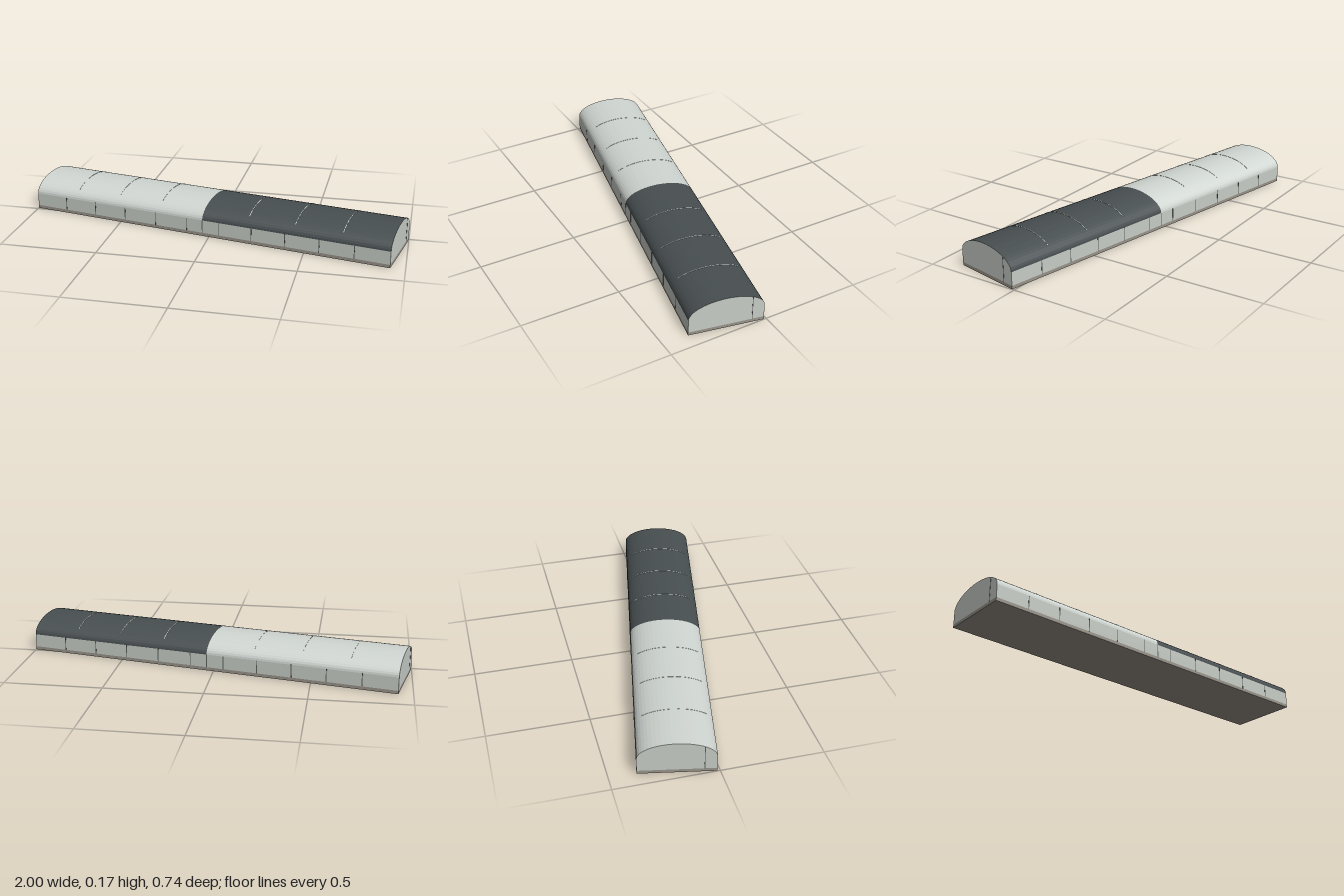
import * as THREE from 'three';

const L = 1.963, W = 0.366;                 // hall length and width
const BASE = 0.017, EAVE = 0.085, RISE = 0.082;

const mat = (name, color) => {
  const m = new THREE.MeshStandardMaterial({ color });
  m.name = name;
  return m;
};

export function createModel() {
  const wall = mat('pale wall', 0xc8cdc7);
  const paleRoof = mat('pale roof', 0xd0d6d1);
  const darkRoof = mat('dark roof', 0x484f51);
  const stone = mat('plinth grey', 0x99948a);
  const seam = mat('seam grey', 0x5c605e);

  const hall = new THREE.Group();
  hall.name = 'hall';
  const add = (name, geo, material, x = 0, y = 0, z = 0) => {
    const m = new THREE.Mesh(geo, material);
    m.name = name;
    m.position.set(x, y, z);
    hall.add(m);
    return m;
  };

  // Points on the elliptical vault, from angle a to angle b
  const arc = (a, b, n, grow = 0) => Array.from({ length: n + 1 }, (_, i) => {
    const t = a + (b - a) * i / n;
    return new THREE.Vector2((W / 2 + grow) * Math.cos(t), EAVE + (RISE + grow) * Math.sin(t));
  });
  // Extrude a cross-section along the length of the hall
  const along = (points, length) => new THREE.ExtrudeGeometry(new THREE.Shape(points), {
    depth: length, bevelEnabled: false,
  }).rotateY(Math.PI / 2);

  // Plinth and straight walls
  add('plinth', new THREE.BoxGeometry(L, BASE, W), stone, 0, BASE / 2);
  add('walls', new THREE.BoxGeometry(L, EAVE - BASE, W), wall, 0, (EAVE + BASE) / 2);

  // Barrel roof in two halves, with gable ends in the wall colour
  const vault = arc(0, Math.PI, 24);
  add('paleRoofHalf', along(vault, L / 2), [wall, paleRoof], -L / 2);
  add('darkRoofHalf', along(vault, L / 2), [wall, darkRoof], 0);

  // Narrow raised ribs across the roof
  const rib = along([...arc(0.6, Math.PI - 0.6, 16, 0.0012), ...arc(0.6, Math.PI - 0.6, 16, -0.001).reverse()], 0.003);
  for (let k = -3; k <= 3; k++) {
    if (k !== 0) add('roofRib', rib, paleRoof, k * L / 8 - 0.0015);
  }

  // Vertical wall joints: eleven bays on each side, plus the middle joint
  const bay = L / 11;
  const jointHeight = EAVE - BASE;
  const joint = new THREE.BoxGeometry(0.004, jointHeight, 0.002);
  const stops = [0];
  for (let k = 0; k < 5; k++) stops.push(bay * (k + 0.5), -bay * (k + 0.5));
  for (const side of [-1, 1]) {
    for (const x of stops) add('wallJoint', joint, seam, x, BASE + jointHeight / 2, side * W / 2);
    // Joint on each gable end
    const top = EAVE + RISE * Math.sqrt(1 - (0.125 / (W / 2)) ** 2) - 0.002;
    add('gableJoint', new THREE.BoxGeometry(0.002, top - BASE, 0.003), seam,
      side * L / 2, (top + BASE) / 2, -side * 0.125);
  }

  // The hall stands at a slight angle
  hall.rotation.y = -0.1965;
  const model = new THREE.Group();
  model.name = 'model';
  model.add(hall);
  return model;
}
